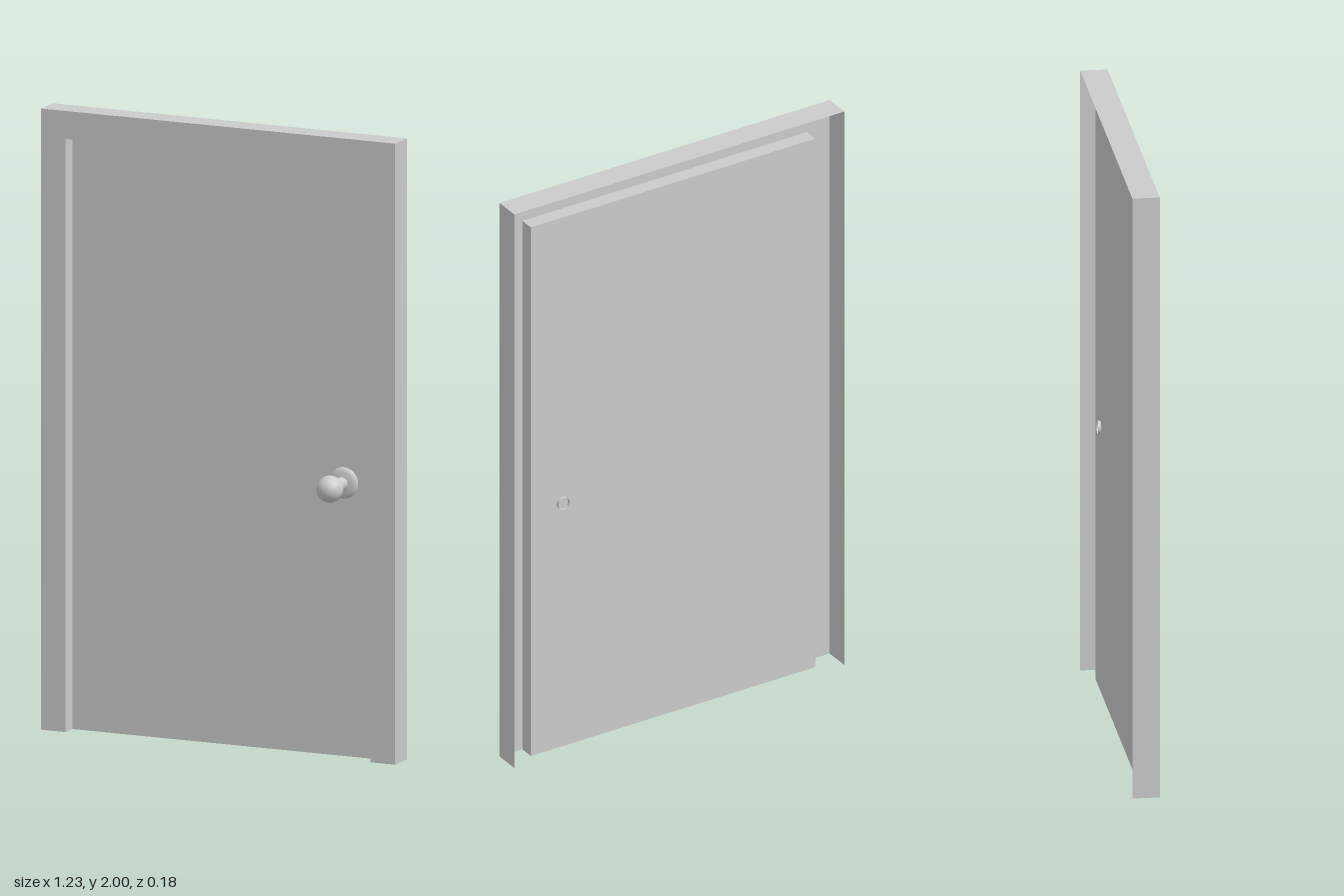
import * as THREE from 'three';

const W = 0.615, H = 2;          // outer half width and height of the frame
const w = 0.53, h = 1.91;        // half width and height of the opening
const FRONT = -0.005, PANEL = -0.055, BACK = -0.092;

export function createModel() {
  const group = new THREE.Group();
  const thin = new THREE.MeshStandardMaterial({ color: 0xcccccc, side: THREE.DoubleSide });

  const add = (name, geometry, x = 0, y = 0, z = 0) => {
    const mesh = new THREE.Mesh(geometry, thin);
    mesh.name = name;
    mesh.position.set(x, y, z);
    group.add(mesh);
    return mesh;
  };

  // Two side walls and a top wall running back from z0 to z1; open below
  const hood = (name, halfWidth, height, z0, z1, outward) => {
    const depth = z0 - z1, z = (z0 + z1) / 2;
    for (const s of [1, -1]) {
      const side = new THREE.PlaneGeometry(depth, height).rotateY(s * outward * Math.PI / 2);
      add(name + (s > 0 ? 'Left' : 'Right'), side, s * halfWidth, height / 2, z);
    }
    const top = new THREE.PlaneGeometry(2 * halfWidth, depth).rotateX(-outward * Math.PI / 2);
    add(name + 'Top', top, 0, height, z);
  };

  // Front face of the frame, around the opening
  const face = new THREE.Shape([
    [-W, 0], [-w, 0], [-w, h], [w, h], [w, 0], [W, 0], [W, H], [-W, H],
  ].map(([x, y]) => new THREE.Vector2(x, y)));
  add('frameFace', new THREE.ShapeGeometry(face), 0, 0, FRONT);

  // Outer walls, hollow behind, and the reveal leading in to the door
  hood('frameOuter', W, H, FRONT, BACK, 1);
  hood('reveal', w, h, FRONT, PANEL, -1);

  // Door panel set back in the opening
  add('doorPanel', new THREE.PlaneGeometry(2 * w, h), 0, h / 2, PANEL);

  // Knob: round plate, neck and ball, turned to face the front
  const knobX = 0.413, knobY = 0.88;
  const plate = [[0.05, 0], [0.05, 0.004], [0.046, 0.01], [0.036, 0.014], [0.02, 0.016]]
    .map(([r, y]) => new THREE.Vector2(r, y));
  add('knobPlate', new THREE.LatheGeometry(plate, 40).rotateX(Math.PI / 2), knobX, knobY, PANEL);
  add('knobNeck', new THREE.CylinderGeometry(0.021, 0.021, 0.075, 32, 1, true).rotateX(Math.PI / 2),
    knobX, knobY, -0.0275);
  add('knobBall', new THREE.SphereGeometry(0.043, 32, 20).rotateX(Math.PI / 2), knobX, knobY, 0.049);

  return group;
}
